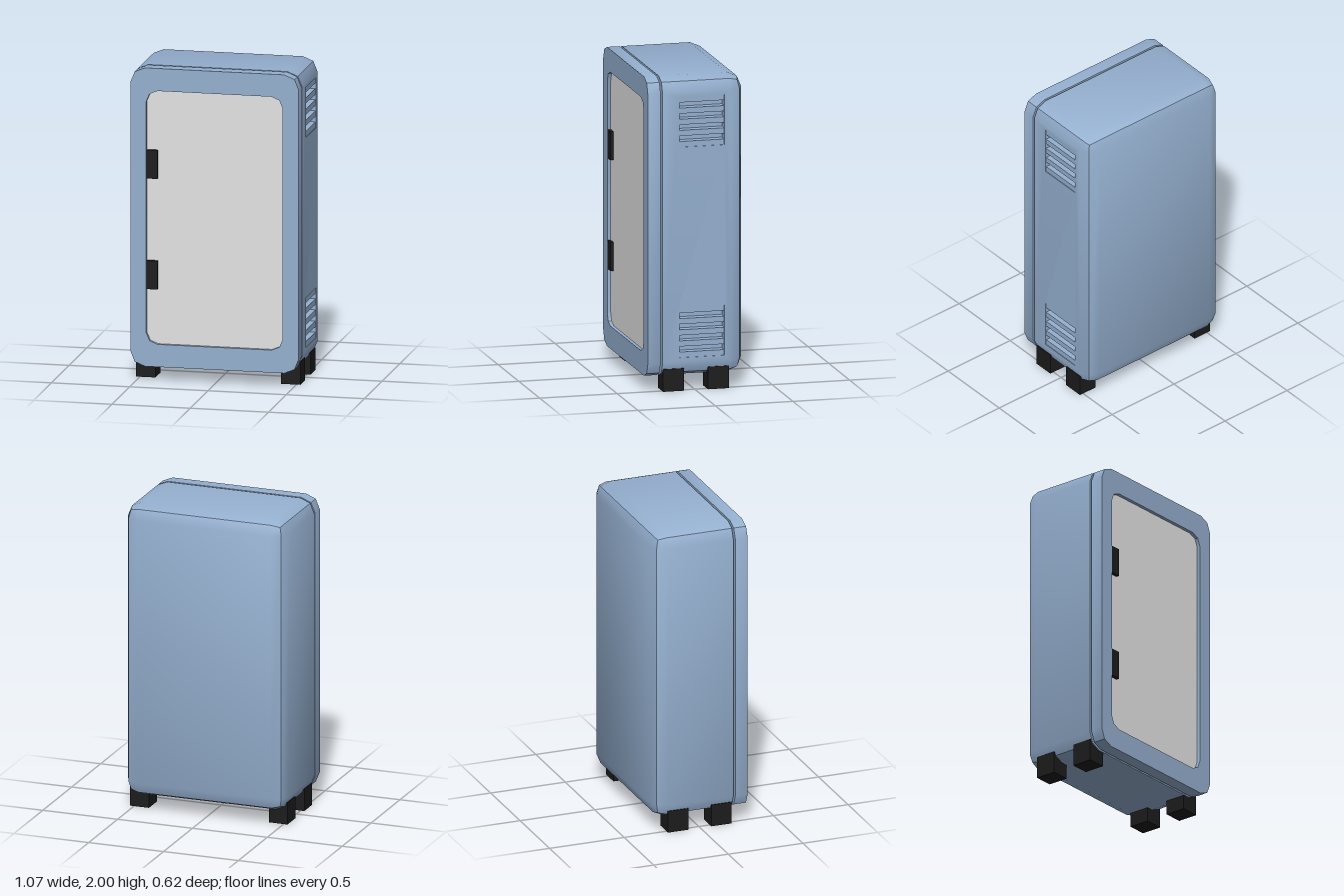
import * as THREE from 'three';
import { mergeGeometries, toCreasedNormals } from 'three/addons/utils/BufferGeometryUtils.js';

const HALF_W = 0.537, BOTTOM = 0.092, TOP = 2, R = 0.092;
const GAP_BACK = 0.217, GAP_FRONT = 0.23, FRONT = 0.312, BACK = -0.313;
const CREASE = 0.6;
const VENT_Y = [0.374, 1.718], VENT_Z = -0.038, VENT_W = 0.288, VENT_H = 0.32, VENT_D = 0.06;

// Rectangle with two-segment rounded corners, anticlockwise from the lower right.
// The corner centres sit `inset` inside the edges; r is the corner radius.
function outline(x0, x1, y0, y1, inset, r = inset, rMiddle = r) {
  const points = [];
  const centres = [[x1 - inset, y0 + inset], [x1 - inset, y1 - inset], [x0 + inset, y1 - inset], [x0 + inset, y0 + inset]];
  centres.forEach(([cx, cy], c) => {
    for (let k = 0; k < 3; k++) {
      const a = (c - 1) * Math.PI / 2 + k * Math.PI / 4;
      const radius = k === 1 ? rMiddle : r;
      points.push(new THREE.Vector2(cx + radius * Math.cos(a), cy + radius * Math.sin(a)));
    }
  });
  return points;
}

const caseOutline = (r = R, rMiddle = r) => outline(-HALF_W, HALF_W, BOTTOM, TOP, R, r, rMiddle);

function rectangle(u0, u1, v0, v1) {
  return [[u0, v0], [u1, v0], [u1, v1], [u0, v1]].map(([u, v]) => new THREE.Vector2(u, v));
}

function plain(geometry) {
  const g = geometry.index ? geometry.toNonIndexed() : geometry;
  g.deleteAttribute('uv');
  return g;
}

// Cabinet shell: rounded rings from the gap to the back, with vent openings in the +x side
function shellGeometry() {
  const zc = BACK + R, edge = Math.SQRT1_2, corner = Math.sqrt(1 / 3);
  const ring = (z, r, zMiddle = z, rMiddle = r) =>
    caseOutline(r, rMiddle).map((p, i) => new THREE.Vector3(p.x, p.y, i % 3 === 1 ? zMiddle : z));
  const rings = [
    ring(GAP_BACK, R),
    ring(zc, R),
    ring(zc - R * edge, R * edge, zc - R * corner, R * corner * Math.SQRT2), // corner points lie on a sphere
    ring(BACK, 0),
  ];
  const triangles = [];
  const add = (a, b, d) => {
    if (new THREE.Triangle(a, b, d).getArea() > 1e-7) triangles.push(a, b, d);
  };
  for (let k = 0; k < 3; k++) {
    for (let i = 0; i < 12; i++) {
      if (k === 0 && i === 2) continue; // the vented side is added below
      const j = (i + 1) % 12, a = rings[k], b = rings[k + 1];
      add(a[i], b[i], b[j]);
      add(a[i], b[j], a[j]);
    }
  }
  const last = rings[3];
  add(last[0], last[9], last[6]);
  add(last[0], last[6], last[3]);
  const skin = new THREE.BufferGeometry().setFromPoints(triangles);
  skin.computeVertexNormals();

  const side = new THREE.Shape(rectangle(-GAP_BACK, -zc, BOTTOM + R, TOP - R));
  for (const y of VENT_Y) {
    side.holes.push(new THREE.Path(rectangle(-VENT_Z - VENT_W / 2, -VENT_Z + VENT_W / 2, y - VENT_H / 2, y + VENT_H / 2)));
  }
  const vented = plain(new THREE.ShapeGeometry(side).rotateY(Math.PI / 2).translate(HALF_W, 0, 0));
  const front = plain(new THREE.ShapeGeometry(new THREE.Shape(caseOutline())).translate(0, 0, GAP_BACK));
  return toCreasedNormals(mergeGeometries([skin, vented, front]), CREASE);
}

function slab(shape, z0, z1) {
  const g = new THREE.ExtrudeGeometry(shape, { depth: z1 - z0, bevelEnabled: false });
  return toCreasedNormals(plain(g).translate(0, 0, z0), CREASE);
}

// Box without its +x face, turned to be seen from inside
function recessGeometry() {
  const g = new THREE.BoxGeometry(VENT_D, VENT_H, VENT_W);
  g.setIndex([...g.index.array].slice(6).reverse());
  const open = plain(g);
  open.computeVertexNormals();
  return open;
}

export function createModel() {
  const model = new THREE.Group();
  model.name = 'cabinet';
  const material = (name, color) => new THREE.MeshStandardMaterial({ name, color });
  const blue = material('blue paint', 0x95b0d0);
  const grey = material('light grey', 0xe4e4e4);
  const black = material('black rubber', 0x1c1c1c);

  const add = (name, geometry, mat, parent = model) => {
    const mesh = new THREE.Mesh(geometry, mat);
    mesh.name = name;
    parent.add(mesh);
    return mesh;
  };
  const box = (name, mat, size, position, parent) =>
    add(name, new THREE.BoxGeometry(...size), mat, parent).position.set(...position);

  add('shell', shellGeometry(), blue);

  // Front frame and recessed door panel
  const opening = outline(-0.437, 0.435, 0.236, 1.856, 0.072);
  const frame = new THREE.Shape(caseOutline());
  frame.holes.push(new THREE.Path(opening));
  add('frontFrame', slab(frame, GAP_FRONT, FRONT), blue);
  add('doorPanel', slab(new THREE.Shape(opening), GAP_FRONT + 0.002, 0.29), grey);

  // Hinges
  for (const y of [0.677, 1.384]) box('hinge', black, [0.07, 0.182, 0.06], [-0.401, y, FRONT - 0.031]);

  // Vents: open recess with five slats
  const pitch = VENT_H / 9;
  for (const y of VENT_Y) {
    const vent = new THREE.Group();
    vent.name = 'vent';
    vent.position.set(HALF_W, y, VENT_Z);
    model.add(vent);
    add('ventRecess', recessGeometry(), blue, vent).position.x = -VENT_D / 2;
    for (let i = -2; i <= 2; i++) {
      box('ventSlat', blue, [VENT_D - 0.004, pitch, VENT_W], [-VENT_D / 2 - 0.002, i * 2 * pitch, 0], vent);
    }
  }

  // Feet
  for (const x of [-0.463, 0.463]) {
    for (const z of [-0.148, 0.142]) box('foot', black, [0.125, 0.143, 0.136], [x, 0.0715, z]);
  }
  return model;
}
